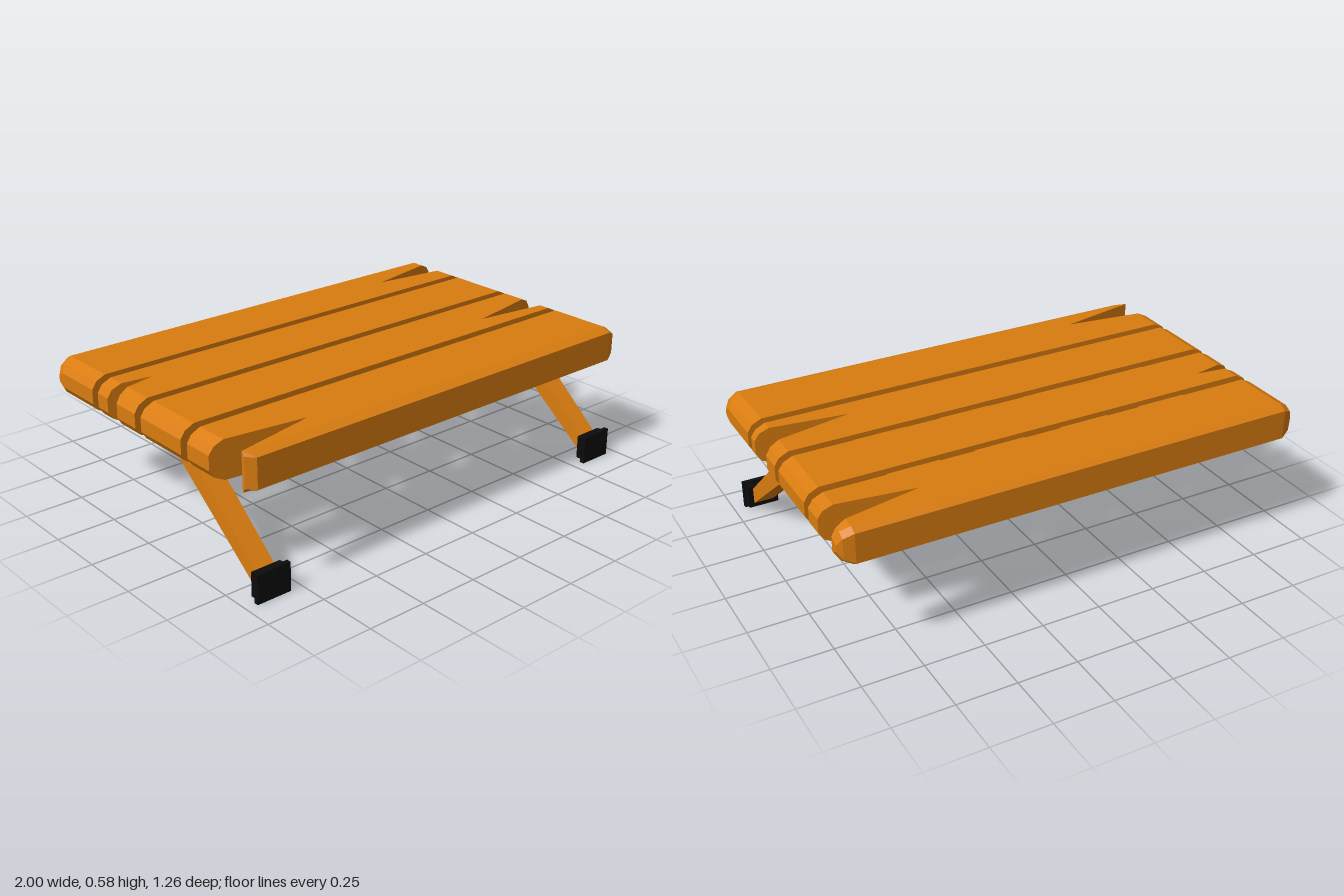
import * as THREE from 'three';

const wood = new THREE.MeshStandardMaterial({ color: 0xd97c10, flatShading: true });
const rubber = new THREE.MeshStandardMaterial({ color: 0x0c0c0c, flatShading: true });
const MID = 0.498, LEG_X = 0.877;

// rounded plank ends: distance from centre, half height, corner pull-in
const ENDS = [[0.94, 0.079, 0], [0.98, 0.06, 0.016], [1, 0.03, 0.034]];

// Half a plank, lofted along x between the split line (tip of the crack) and the outer edge.
function plankHalf({ outer, bevel, notch, mouth, cutAt }) {
  const s = Math.sign(outer - notch.z);
  const side = Math.sign(notch.x);
  let stations = [];
  for (const [x, h, pull] of ENDS) stations.push({ x, h, pull }, { x: -x, h, pull });
  stations.push({ x: notch.x, h: 0.079, pull: 0 });
  if (cutAt !== undefined) {
    // broken-off prong with a blunt full-height end
    stations = stations.filter((p) => p.x > cutAt + 0.02);
    stations.push({ x: cutAt, h: 0.079, pull: 0.034 }, { x: cutAt + 0.03, h: 0.079, pull: 0 });
  }
  stations.sort((a, b) => a.x - b.x);

  const rings = stations.map(({ x, h, pull }) => {
    const t = Math.max(0, (x - notch.x) * side) / (1 - Math.abs(notch.x));
    const zi = notch.z + (mouth - notch.z) * t;
    const zo = outer - (bevel ? s * pull : 0);
    const c = Math.min(bevel, Math.abs(zo - zi) * 0.9);
    const e = bevel ? h - 0.017 : h;
    const half = bevel ? [[zi, h], [zo - s * c, h], [zo, e]] : [[zi, h], [zo, h]];
    const loop = [...half, ...half.map(([z, y]) => [z, -y]).reverse()];
    return { open: t > 0, pts: loop.map(([z, y]) => [x, MID + y, z]) };
  });

  const pos = [];
  const tri = (a, b, c) => pos.push(...a, ...(s > 0 ? b : c), ...(s > 0 ? c : b));
  const n = rings[0].pts.length;
  for (let i = 0; i < rings.length - 1; i++) {
    const P = rings[i].pts, Q = rings[i + 1].pts;
    // the inner wall exists only along the crack
    const walls = rings[i].open || rings[i + 1].open ? n : n - 1;
    for (let j = 0; j < walls; j++) {
      const k = (j + 1) % n;
      tri(P[j], P[k], Q[k]);
      tri(P[j], Q[k], Q[j]);
    }
  }
  const A = rings[0].pts, B = rings[rings.length - 1].pts;
  for (let j = 1; j < n - 1; j++) {
    tri(A[0], A[j + 1], A[j]);
    tri(B[0], B[j], B[j + 1]);
  }
  const geo = new THREE.BufferGeometry();
  geo.setAttribute('position', new THREE.Float32BufferAttribute(pos, 3));
  geo.computeVertexNormals();
  return new THREE.Mesh(geo, wood);
}

function box(name, size, at, material) {
  const mesh = new THREE.Mesh(new THREE.BoxGeometry(...size), material);
  mesh.position.set(...at);
  mesh.name = name;
  return mesh;
}

export function createModel() {
  const model = new THREE.Group();
  model.name = 'plankPlatform';

  // four planks, each with a V-shaped crack in one end
  const planks = [
    { back: -0.628, front: -0.34, notch: { x: 0.62, z: -0.48 }, mouth: [-0.558, -0.43], bevel: [0.028, 0] },
    { back: -0.3, front: -0.04, notch: { x: -0.81, z: -0.205 }, mouth: [-0.23, -0.165], bevel: [0, 0] },
    { back: 0, front: 0.26, notch: { x: 0.62, z: 0.17 }, mouth: [0.092, 0.22], bevel: [0, 0] },
    { back: 0.3, front: 0.605, notch: { x: -0.6, z: 0.485 }, mouth: [0.432, 0.568], bevel: [0, 0.04], cutAt: -0.95 },
  ];
  planks.forEach((p, i) => {
    const plank = new THREE.Group();
    plank.name = `plank${i + 1}`;
    const backHalf = plankHalf({ outer: p.back, bevel: p.bevel[0], notch: p.notch, mouth: p.mouth[0] });
    const frontHalf = plankHalf({
      outer: p.front, bevel: p.bevel[1], notch: p.notch, mouth: p.mouth[1], cutAt: p.cutAt,
    });
    backHalf.name = 'plankBackHalf';
    frontHalf.name = 'plankFrontHalf';
    plank.add(backHalf, frontHalf);
    model.add(plank);
  });

  // short battens bridging the gaps
  for (const z of [-0.32, -0.02, 0.28]) {
    for (const x of [-0.56, -0.19, 0.19, 0.56]) {
      model.add(box('batten', [0.22, 0.09, 0.06], [x, 0.51, z], wood));
    }
  }

  // slanted legs with square feet
  const profile = new THREE.Shape([[0.58, 0.027], [0.58, 0.098], [0.125, 0.49], [0.075, 0.42]]
    .map(([z, y]) => new THREE.Vector2(z, y)));
  const legGeo = new THREE.ExtrudeGeometry(profile, { depth: 0.085, bevelEnabled: false });
  legGeo.translate(0, 0, -0.0425).rotateY(-Math.PI / 2);
  for (const side of [-1, 1]) {
    const leg = new THREE.Mesh(legGeo, wood);
    leg.name = side > 0 ? 'leftLeg' : 'rightLeg';
    leg.position.x = side * LEG_X;
    model.add(leg);
    const foot = new THREE.Group();
    foot.name = side > 0 ? 'leftFoot' : 'rightFoot';
    foot.add(
      box('footPad', [0.15, 0.12, 0.02], [side * LEG_X, 0.06, 0.618], rubber),
      box('footSocket', [0.13, 0.1, 0.03], [side * LEG_X, 0.06, 0.594], rubber),
    );
    model.add(foot);
  }
  return model;
}
